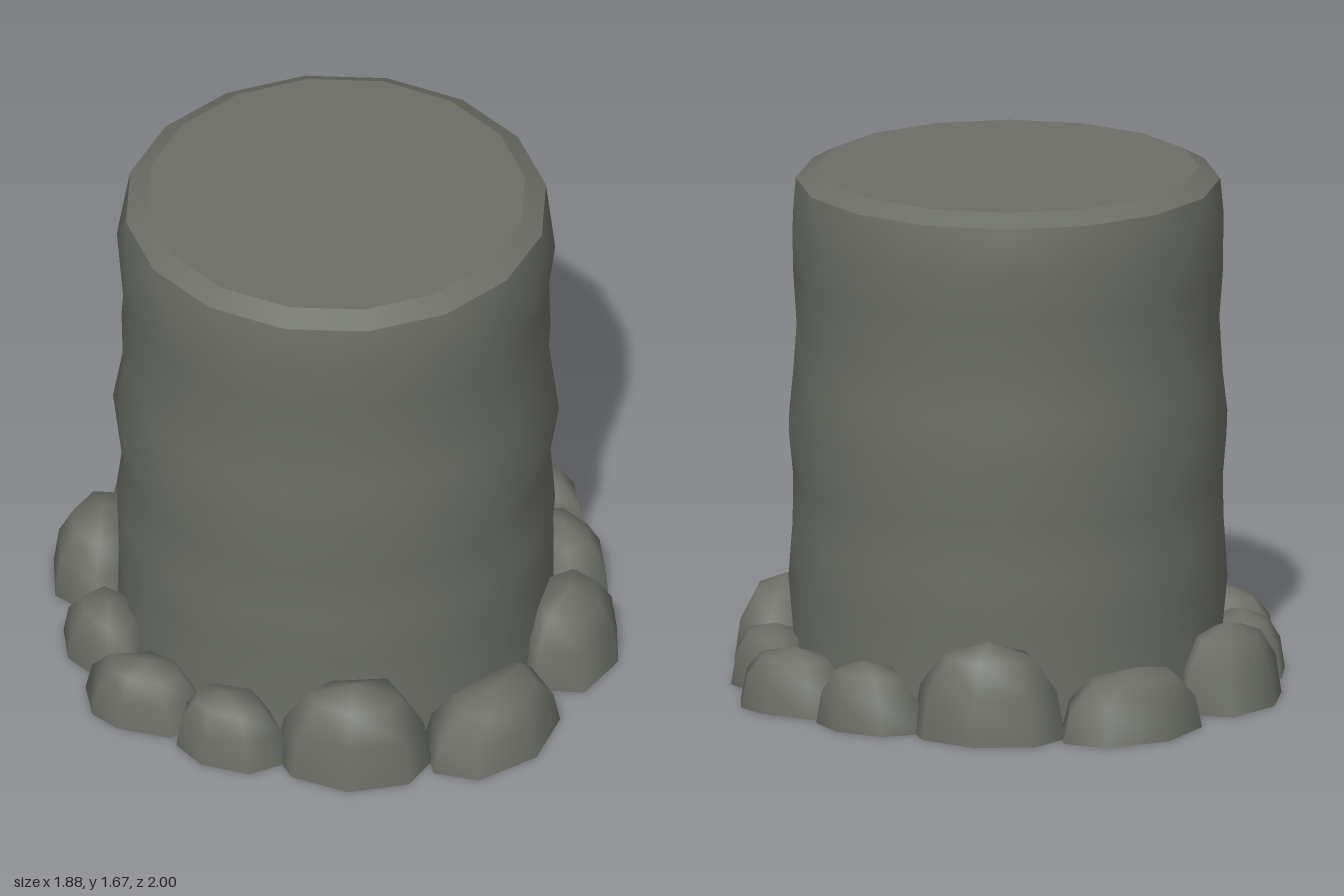
import * as THREE from 'three';

const SIDES = 16;

// Wall rows [height, radius]; every other row is turned by half a side
const ROWS = [
  [0, 0.705], [0.16, 0.695], [0.33, 0.7], [0.49, 0.7], [0.66, 0.685], [0.84, 0.712],
  [1.0, 0.685], [1.17, 0.685], [1.33, 0.685], [1.49, 0.7], [1.637, 0.677],
];

// Half of the rocks: height and footprint [x, z], anticlockwise from above
const ROCKS = [
  { h: 0.21, foot: [[-0.34, 0.84], [-0.26, 0.965], [-0.04, 0.998], [0.15, 0.9], [0.2, 0.73], [0.18, 0.69], [-0.25, 0.69]] },
  { h: 0.26, foot: [[0.19, 0.73], [0.3, 0.85], [0.49, 0.8], [0.61, 0.66], [0.59, 0.49], [0.45, 0.46], [0.25, 0.6]] },
  { h: 0.2, foot: [[0.56, 0.5], [0.71, 0.51], [0.8, 0.39], [0.8, 0.2], [0.74, 0.14], [0.62, 0.18], [0.53, 0.36]] },
  { h: 0.2, foot: [[0.68, 0.11], [0.86, 0.24], [0.94, 0.12], [0.93, 0.01], [0.84, -0.14], [0.7, -0.15], [0.64, -0.02]] },
  { h: 0.21, foot: [[0.56, -0.3], [0.68, -0.12], [0.77, -0.12], [0.85, -0.18], [0.86, -0.31], [0.78, -0.45], [0.64, -0.49]] },
  { h: 0.31, foot: [[0.25, -0.62], [0.48, -0.44], [0.65, -0.43], [0.69, -0.55], [0.61, -0.73], [0.44, -0.83], [0.3, -0.79]] },
];

function makeGeometry(positions, index) {
  const geometry = new THREE.BufferGeometry();
  geometry.setAttribute('position', new THREE.Float32BufferAttribute(positions, 3));
  geometry.setIndex(index);
  geometry.computeVertexNormals();
  return geometry;
}

// Bumpy wall made of staggered rings
function wallGeometry() {
  const positions = [], index = [];
  ROWS.forEach(([y, r], row) => {
    const shift = row % 2 ? 0 : 0.5;
    for (let j = 0; j < SIDES; j++) {
      const a = ((j + shift) / SIDES) * Math.PI * 2;
      positions.push(r * Math.cos(a), y, -r * Math.sin(a));
    }
  });
  for (let row = 0; row < ROWS.length - 1; row++) {
    for (let j = 0; j < SIDES; j++) {
      const k = (j + 1) % SIDES, lo = row * SIDES, up = lo + SIDES;
      if (row % 2) index.push(lo + j, lo + k, up + j, up + j, lo + k, up + k);
      else index.push(lo + j, up + k, up + j, lo + j, lo + k, up + k);
    }
  }
  return makeGeometry(positions, index);
}

// Domed rock: the footprint shrinks ring by ring to a peak, with a flat underside
function rockGeometry({ h, foot }) {
  const n = foot.length;
  const cx = foot.reduce((s, p) => s + p[0], 0) / n;
  const cz = foot.reduce((s, p) => s + p[1], 0) / n;
  const rings = [[0, 0], [1, 0], [0.89, 0.5], [0.6, 0.84]];
  const positions = [], index = [];
  const addRing = ([scale, y]) => foot.forEach(([x, z]) =>
    positions.push(cx + (x - cx) * scale, y * h, cz + (z - cz) * scale));
  rings[0][0] = 1;
  rings.forEach(addRing);
  positions.push(cx, h, cz, cx, 0, cz);
  const peak = rings.length * n, base = peak + 1;
  for (let j = 0; j < n; j++) {
    const k = (j + 1) % n;
    index.push(base, k, j);
    for (let r = 1; r < rings.length - 1; r++) {
      const lo = r * n, up = lo + n;
      index.push(lo + j, lo + k, up + j, up + j, lo + k, up + k);
    }
    const last = (rings.length - 1) * n;
    index.push(last + j, last + k, peak);
  }
  return makeGeometry(positions, index);
}

export function createModel() {
  const model = new THREE.Group();
  model.name = 'stonePillar';
  const stone = new THREE.MeshStandardMaterial({ color: 0x6b6e66 });
  stone.name = 'grey stone';
  const add = (name, geometry, parent = model) => {
    const mesh = new THREE.Mesh(geometry, stone);
    mesh.name = name;
    parent.add(mesh);
    return mesh;
  };

  // Pillar
  add('pillarWall', wallGeometry());
  add('pillarTop', new THREE.CylinderGeometry(0.61, 0.677, 0.038, SIDES, 1, false, Math.PI / SIDES))
    .position.y = 1.656;
  const bottom = add('pillarBottom', new THREE.CircleGeometry(0.705, SIDES, Math.PI / SIDES));
  bottom.rotation.x = Math.PI / 2;

  // Ring of rocks, the second half turned by 180 degrees
  for (const turn of [0, Math.PI]) {
    const half = new THREE.Group();
    half.name = turn ? 'backRocks' : 'frontRocks';
    half.rotation.y = turn;
    ROCKS.forEach((rock, i) => add(`rock${i + 1}`, rockGeometry(rock), half));
    model.add(half);
  }
  return model;
}
